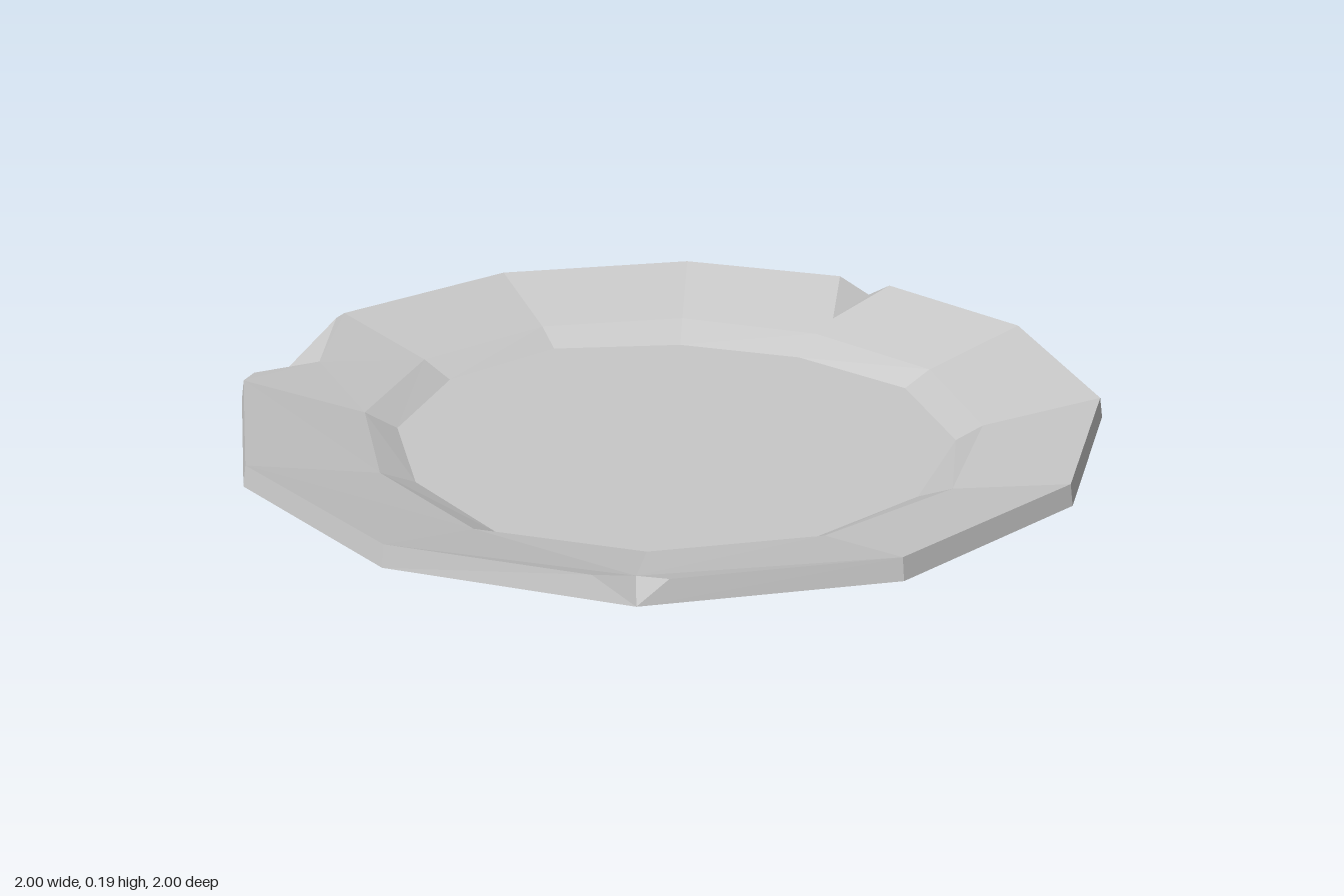
import * as THREE from 'three';

const SIDES = 12;

// Ring of points, from the front round by the model's left; radius may vary by corner
function ring(radius, y) {
  return Array.from({ length: SIDES }, (_, i) => {
    const a = (i / SIDES) * Math.PI * 2;
    const r = Array.isArray(radius) ? radius[i] : radius;
    return [Math.sin(a) * r, y, Math.cos(a) * r];
  });
}

// Fan of triangles round the first point of each polygon
function facets(polygons) {
  const pos = [];
  for (const p of polygons) {
    for (let i = 1; i < p.length - 1; i++) pos.push(...p[0], ...p[i], ...p[i + 1]);
  }
  const g = new THREE.BufferGeometry();
  g.setAttribute('position', new THREE.Float32BufferAttribute(pos, 3));
  g.computeVertexNormals();
  return g;
}

export function createModel() {
  const group = new THREE.Group();
  group.name = 'chippedPlate';
  const stone = new THREE.MeshStandardMaterial({ color: 0xc8c8c8, flatShading: true });
  stone.name = 'lightGrey';

  const foot = ring(0.64, 0);
  const low = ring(1, 0.145);
  const top = ring(0.992, 0.192);
  const bend = ring([0.72, 0.71, 0.71, 0.73, 0.73, 0.73, 0.71, 0.72, 0.73, 0.73, 0.71, 0.7], 0.118);
  const floor = ring([0.645, 0.635, 0.645, 0.65, 0.67, 0.66, 0.62, 0.615, 0.655, 0.65, 0.635, 0.62], 0.08);

  // Chips at a corner of the rim, and one in the middle of a side
  const cornerChips = {
    1: { start: [0.41, 0.192, 0.88], end: [0.54, 0.192, 0.815], inner: [0.445, 0.16, 0.785] },
    6: { start: [0.075, 0.192, -0.972], end: [-0.075, 0.192, -0.972], inner: [0.005, 0.138, -0.79] },
  };
  const sideChips = {
    9: { start: [-0.983, 0.192, 0.04], end: [-0.875, 0.192, 0.445], inner: [-0.85, 0.165, 0.25], bottom: [-0.925, 0.145, 0.28] },
  };

  const underside = [[...foot].reverse()];
  const rim = [], well = [], chips = [];
  for (let i = 0; i < SIDES; i++) {
    const j = (i + 1) % SIDES;
    const a = cornerChips[i], b = cornerChips[j], s = sideChips[i];
    const topA = a ? a.end : top[i];
    const topB = b ? b.start : top[j];

    underside.push([foot[i], foot[j], low[j], low[i]]);
    well.push([bend[i], bend[j], floor[j], floor[i]]);

    if (s) {
      rim.push([low[i], s.bottom, s.start, topA], [s.bottom, low[j], topB, s.end]);
      well.push([s.inner, s.end, topB, bend[j], bend[i], topA, s.start]);
      chips.push([s.start, s.bottom, s.inner], [s.bottom, s.end, s.inner]);
    } else {
      rim.push([low[i], low[j], topB, topA]);
      if (a) well.push([a.inner, a.end, topB, bend[j], bend[i]]);
      else if (b) well.push([b.inner, bend[j], bend[i], topA, b.start]);
      else well.push([topA, topB, bend[j], bend[i]]);
    }
    if (a) chips.push([a.start, low[i], a.inner], [low[i], a.end, a.inner]);
  }

  const parts = { underside, rim, innerSlope: well, floor: [floor], chips };
  for (const [name, polygons] of Object.entries(parts)) {
    const mesh = new THREE.Mesh(facets(polygons), stone);
    mesh.name = name;
    group.add(mesh);
  }
  return group;
}
